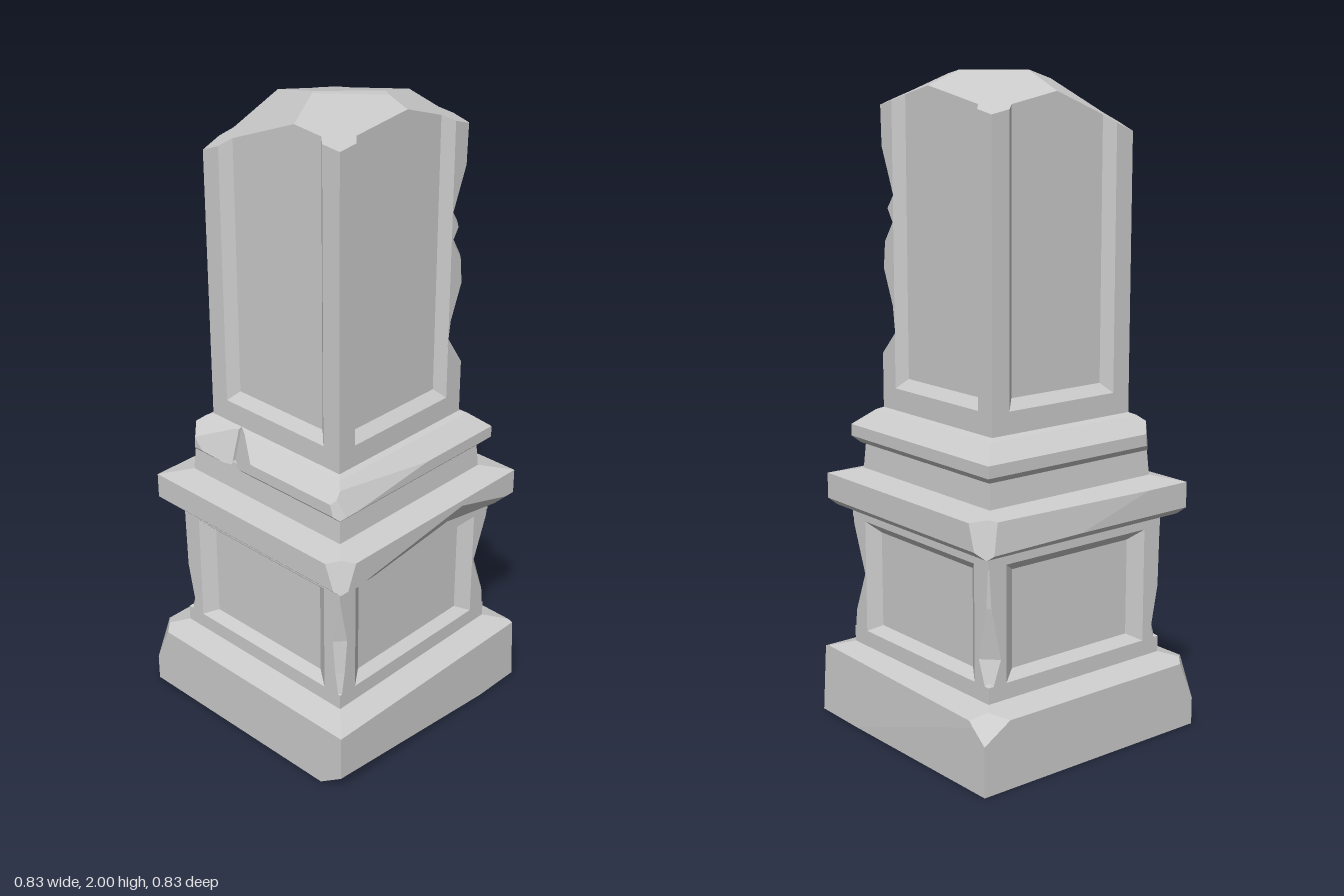
import * as THREE from 'three';
import { ConvexGeometry } from 'three/addons/geometries/ConvexGeometry.js';

const material = new THREE.MeshStandardMaterial({ color: 0xcccccc, flatShading: true, side: THREE.DoubleSide });

// A stone block is the space inside a list of planes [nx, ny, nz, d], where n.p <= d.
function stone(name, planes) {
  const points = new Map();
  const n = planes.map((p) => new THREE.Vector3(p[0], p[1], p[2]));
  for (let i = 0; i < n.length; i++) for (let j = i + 1; j < n.length; j++) {
    const nij = n[i].clone().cross(n[j]);
    if (nij.length() < 1e-5) continue;
    for (let k = j + 1; k < n.length; k++) {
      const det = nij.dot(n[k]);
      if (Math.abs(det) < 1e-5) continue;
      const p = n[j].clone().cross(n[k]).multiplyScalar(planes[i][3])
        .addScaledVector(n[k].clone().cross(n[i]), planes[j][3])
        .addScaledVector(nij, planes[k][3]).divideScalar(det);
      if (planes.every((q, m) => n[m].dot(p) <= q[3] + 1e-6)) {
        points.set(p.toArray().map((v) => Math.round(v * 2000)).join(), p);
      }
    }
  }
  const mesh = new THREE.Mesh(new ConvexGeometry([...points.values()]), material);
  mesh.name = name;
  return mesh;
}

// Planes of a square moulding with a profile of [height, half width]
function square(profile) {
  const planes = [[0, -1, 0, -profile[0][0]], [0, 1, 0, profile[profile.length - 1][0]]];
  for (let i = 1; i < profile.length; i++) {
    const [y0, w0] = profile[i - 1], [y1, w1] = profile[i];
    const k = (w0 - w1) / (y1 - y0), d = w0 + k * y0;
    planes.push([1, k, 0, d], [-1, k, 0, d], [0, k, 1, d], [0, k, -1, d]);
  }
  return planes;
}

// A cut through a point, removing everything on the side of the normal
const cut = (x, y, z, nx, ny, nz) => [nx, ny, nz, nx * x + ny * y + nz * z];

// Corner post between two panels; wear is a list of [height, depth of the worn edge]
function post(name, sx, sz, { outer, edge, inner, depth }, wear, cuts = []) {
  const group = new THREE.Group();
  group.name = name;
  const bevel = edge - inner;
  const slant = -depth * edge + bevel * outer;
  for (let i = 1; i < wear.length; i++) {
    const [y0, c0] = wear[i - 1], [y1, c1] = wear[i];
    const k = (c1 - c0) / (y1 - y0);
    const planes = [
      [1, 0, 0, outer], [0, 0, 1, outer],
      [bevel, 0, -depth, slant], [-depth, 0, bevel, slant],
      [-1, 0, -1, -(outer - depth + inner)],
      [0, -1, 0, -y0], [0, 1, 0, y1],
      [1, k, 1, 2 * outer - c0 + k * y0],
    ].map(([x, y, z, d]) => [x * sx, y, z * sz, d]);
    group.add(stone(name + 'Part', [...planes, ...cuts]));
  }
  return group;
}

export function createModel() {
  const model = new THREE.Group();
  const add = (name, planes) => model.add(stone(name, planes));

  // Base block with chipped corners and a broken lower front edge
  add('base', [...square([[0, 0.413], [0.21, 0.413], [0.235, 0.335]]),
    [-0.092, -1, 0.72, 0.275],
    cut(-0.385, 0.21, -0.385, -1, 0.45, -1),
    cut(0.38, 0.2, -0.38, 0.6, 1, -0.8),
    cut(0.405, 0.21, 0.0, 1, 0.06, 0.02)]);

  // Lower pedestal with a sunk panel on each side
  const low = { outer: 0.335, edge: 0.27, inner: 0.225, depth: 0.03 };
  add('pedestalCore', square([[0.28, 0.305], [0.66, 0.305]]));
  add('pedestalBottomRail', square([[0.235, 0.335], [0.285, 0.335], [0.31, 0.305]]));
  add('pedestalTopRail', square([[0.61, 0.305], [0.64, 0.335], [0.69, 0.335]]));
  const lowWear = [
    [1, 1, [[0.235, 0], [0.34, 0.01], [0.47, 0.06], [0.62, 0.005], [0.69, 0]]],
    [-1, 1, [[0.235, 0], [0.36, 0.02], [0.47, 0.03], [0.62, 0], [0.69, 0]]],
    [1, -1, [[0.235, 0], [0.36, 0.045], [0.52, 0.01], [0.69, 0]]],
    [-1, -1, [[0.235, 0], [0.32, 0.03], [0.45, 0.005], [0.69, 0]]],
  ];
  for (const [sx, sz, wear] of lowWear) model.add(post('pedestalPost', sx, sz, low, wear));

  // Lower cornice, in two pieces that meet at the chip in the front edge
  const cornice = [...square([[0.68, 0.37], [0.7, 0.39], [0.78, 0.39], [0.8, 0.31]]),
    cut(0.355, 0.75, -0.36, 1, 0.3, -1),
    cut(-0.36, 0.75, 0.37, -1, 0.4, 1),
    cut(0, 0.74, -0.387, 0.03, 0.1, -1)];
  add('corniceRight', [...cornice, [1, 0, 0, 0.14], cut(0.14, 0.74, 0.375, 0.1, -0.7, 1)]);
  add('corniceLeft', [...cornice, [-1, 0, 0, -0.14], cut(0.14, 0.74, 0.375, -0.2, -0.7, 1)]);

  // Neck and upper moulding, with a notch in the right side
  add('neck', square([[0.79, 0.31], [0.89, 0.303]]));
  const moulding = [...square([[0.88, 0.315], [0.9, 0.335], [0.96, 0.335], [0.985, 0.28], [1.0, 0.263]]),
    cut(-0.32, 0.92, 0.315, -1, 0.3, 1),
    cut(-0.3, 0.93, 0.318, -0.06, 0.5, 1)];
  add('mouldingFront', [...moulding, [0, 0, -1, 0.14], cut(-0.275, 0.95, -0.14, -1, 0.3, -0.5)]);
  add('mouldingBack', [...moulding, [0, 0, 1, -0.14], cut(-0.285, 0.95, -0.14, -1, 0.3, 0.35),
    cut(-0.285, 0.93, -0.32, -1, 0.1, -1)]);

  // Broken top of the shaft: one sloping plane for each corner
  const breaks = [[0, 1, 0, 2],
    cut(-0.26, 1.83, -0.26, -0.4, 1, -0.4),
    cut(0.26, 1.89, -0.26, 0.2, 1, -0.2),
    cut(0.26, 1.9, 0.26, 0.35, 1, 0.25),
    cut(-0.26, 1.95, 0.26, -0.12, 1, 0.1)];

  // Shaft with panels that run up into the break
  const high = { outer: 0.263, edge: 0.2, inner: 0.17, depth: 0.028 };
  add('shaftCore', [...square([[1.0, 0.235], [2.1, 0.235]]), ...breaks]);
  add('shaftBottomRail', square([[0.98, 0.263], [1.06, 0.263], [1.09, 0.235]]));
  const chipped = [[0.98, 0], [1.16, 0], [1.23, 0.065], [1.31, 0.055], [1.42, 0.012], [1.5, 0.02],
    [1.56, 0.06], [1.6, 0.035], [1.64, 0.065], [1.78, 0.01], [2.1, 0]];
  for (const sx of [-1, 1]) for (const sz of [-1, 1]) {
    const wear = sx > 0 && sz > 0 ? chipped : [[0.98, 0], [2.1, 0]];
    model.add(post('shaftPost', sx, sz, high, wear, breaks));
  }
  return model;
}
